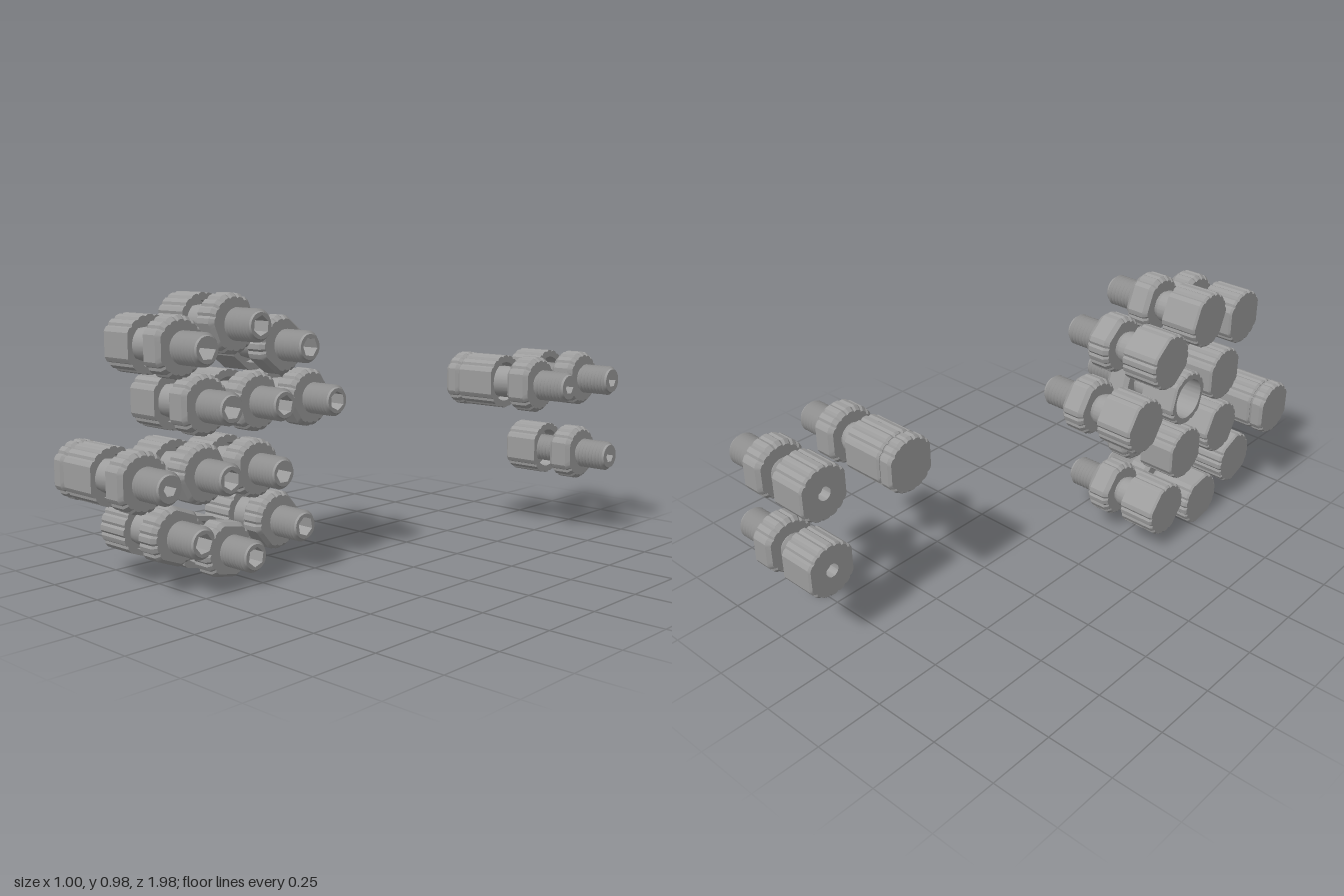
import * as THREE from 'three';
import { toCreasedNormals } from 'three/addons/utils/BufferGeometryUtils.js';

const steel = new THREE.MeshStandardMaterial({ color: 0x9d9d9d });
steel.name = 'grey steel';

// Turns a [radius, x] profile about the x axis; rule(radius, angle) reshapes each radius.
function turned(profile, segments, rule) {
  const geo = new THREE.LatheGeometry(profile.map(([r, x]) => new THREE.Vector2(r, x)), segments);
  const p = geo.attributes.position;
  for (let i = 0; i < p.count; i++) {
    const r = Math.hypot(p.getX(i), p.getZ(i));
    if (r < 1e-6) continue;
    const a = Math.atan2(p.getX(i), p.getZ(i));
    const k = rule(r, a) / r;
    p.setX(i, p.getX(i) * k);
    p.setZ(i, p.getZ(i) * k);
  }
  geo.rotateZ(-Math.PI / 2);
  return toCreasedNormals(geo, 0.45);
}

// Grip outline: two opposite flats with narrow grooves between them
function grip(r, a) {
  if (r < 0.09) return r;
  const step = Math.PI / 36, half = 5 * step;
  const d = Math.min(Math.abs(a), Math.PI - Math.abs(a));
  if (d < half) return r * Math.cos(half) / Math.cos(d);
  return Math.round(d / step) % 4 === 0 ? r * 0.945 : r;
}

// Hexagonal bore inside a round shaft
function hexBore(r, a) {
  if (r > 0.038) return r;
  const s = Math.PI / 3, d = ((a % s) + s) % s - s / 2;
  return r * Math.cos(s / 2) / Math.cos(d);
}

// Zigzag thread profile
function thread(x0, x1, root, crest, turns) {
  const pts = [];
  const pitch = (x1 - x0) / turns;
  for (let i = 0; i < turns; i++) {
    pts.push([root, x0 + i * pitch], [crest, x0 + (i + 0.5) * pitch]);
  }
  pts.push([root, x1]);
  return pts;
}

// Cap with a recess round the neck; back is closed, drilled or open
function capGeometry(back, x0) {
  const start = {
    closed: [[0, x0]],
    drilled: [[0, x0 + 0.04], [0.025, x0 + 0.04], [0.025, x0]],
    open: [[0.075, -0.345], [0.075, x0]],
  }[back];
  const end = [[0.075, -0.295], [0.075, -0.345]];
  if (back !== 'open') end.push([0, -0.345]);
  return turned([...start, [0.096, x0], [0.102, x0 + 0.008], [0.102, -0.295], ...end], 72, grip);
}

// Neck and threaded stem in one piece
function shaftGeometry(bore, threadedNeck, through) {
  const neck = threadedNeck
    ? thread(-0.355, -0.225, 0.043, 0.053, 8)
    : [[0.052, -0.36], [0.061, -0.3], [0.058, -0.24], [0.05, -0.225]];
  const pts = [[through ? bore : 0, neck[0][1]], ...neck, [0.048, -0.13],
    ...thread(-0.128, -0.008, 0.048, 0.057, 8), [0.045, 0], [bore, 0]];
  if (through) pts.push([bore, neck[0][1]]);
  else pts.push([bore, -0.1], [0, -0.1]);
  return turned(pts, 24, hexBore);
}

const nutGeo = turned([[0.046, -0.224], [0.092, -0.224], [0.105, -0.208],
  [0.105, -0.146], [0.092, -0.13], [0.046, -0.13]], 72, grip);
const endRingGeo = turned([[0, -0.515], [0.096, -0.515], [0.104, -0.503],
  [0.104, -0.47], [0.094, -0.457], [0, -0.457]], 72, grip);

const kinds = {
  standard: { cap: capGeometry('closed', -0.435), shaft: shaftGeometry(0.035, false, false) },
  open: { cap: capGeometry('open', -0.435), shaft: shaftGeometry(0.035, false, true) },
  long: { cap: capGeometry('closed', -0.457), shaft: shaftGeometry(0.025, false, false), ring: endRingGeo },
  drilled: { cap: capGeometry('drilled', -0.435), shaft: shaftGeometry(0.025, true, false) },
};

function fitting(kind, x, y, z, turn = 0) {
  const group = new THREE.Group();
  group.name = kind + 'Fitting';
  const add = (name, geo) => {
    const mesh = new THREE.Mesh(geo, steel);
    mesh.name = name;
    group.add(mesh);
  };
  add('cap', kinds[kind].cap);
  add('threadedShaft', kinds[kind].shaft);
  add('nut', nutGeo);
  if (kinds[kind].ring) add('endRing', kinds[kind].ring);
  group.position.set(x, y, z);
  group.rotation.x = turn;
  return group;
}

export function createModel() {
  const model = new THREE.Group();
  model.name = 'fittings';
  // Large cluster: kind, y, z, turn
  const cluster = [
    ['standard', 0.82, 0.735, 0], ['standard', 0.885, 0.505, 0.4], ['standard', 0.8, 0.28, 0.9],
    ['standard', 0.62, 0.635, 0], ['open', 0.61, 0.4, 0.3], ['standard', 0.6, 0.147, 0.6],
    ['long', 0.395, 0.896, 0], ['standard', 0.387, 0.645, 0.5], ['standard', 0.375, 0.41, 0],
    ['standard', 0.195, 0.765, 1.2], ['standard', 0.107, 0.542, 1.4], ['standard', 0.172, 0.31, 0.7],
  ];
  for (const [kind, y, z, turn] of cluster) model.add(fitting(kind, 0.015, y, z, turn));

  // Small cluster
  model.add(fitting('long', 0.5, 0.62, -0.595));
  model.add(fitting('drilled', 0.5, 0.62, -0.895));
  model.add(fitting('drilled', 0.5, 0.32, -0.895));
  return model;
}
